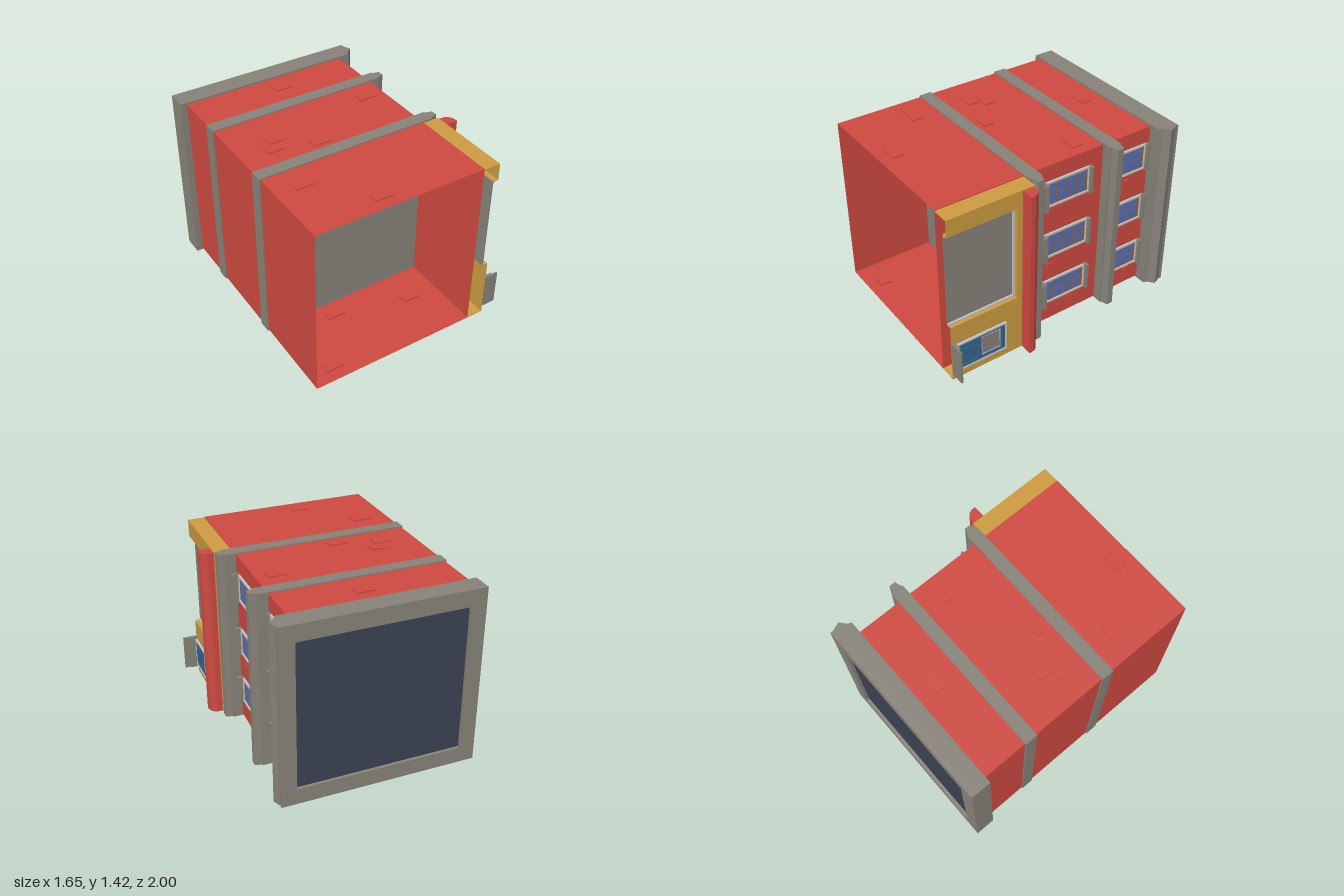
import * as THREE from 'three';

const mat = (name, color, side = THREE.FrontSide) => {
  const m = new THREE.MeshStandardMaterial({ color, side });
  m.name = name;
  return m;
};

export function createModel() {
  const root = new THREE.Group();
  root.name = 'townhouse';
  const red = mat('red wall', 0xcf4a41, THREE.DoubleSide);
  const grey = mat('grey stone', 0x87837a);
  const ochre = mat('ochre shopfront', 0xcd9c41);
  const light = mat('pale trim', 0xc4c5c4);
  const glass = mat('blue glass', 0x5c6fb2);
  const brown = mat('brown sash', 0xa0662f);
  const blue = mat('blue door', 0x37648c);
  const navy = mat('dark roof', 0x3b4252);

  const add = (parent, name, geo, m) => {
    const mesh = new THREE.Mesh(geo, m);
    mesh.name = name;
    parent.add(mesh);
    return mesh;
  };
  // box given by its min and max on each axis
  const box = (parent, name, m, x0, x1, y0, y1, z0, z1) => {
    const g = new THREE.BoxGeometry(x1 - x0, y1 - y0, z1 - z0);
    g.translate((x0 + x1) / 2, (y0 + y1) / 2, (z0 + z1) / 2);
    return add(parent, name, g, m);
  };
  // [x, z] outline extruded upward
  const prism = (parent, name, m, pts, y0, y1) => {
    const s = new THREE.Shape(pts.map(([x, z]) => new THREE.Vector2(x, -z)));
    const g = new THREE.ExtrudeGeometry(s, { depth: y1 - y0, bevelEnabled: false });
    g.rotateX(-Math.PI / 2).translate(0, y0, 0);
    return add(parent, name, g, m);
  };
  // rectangular rim on a wall facing +x
  const rim = (parent, name, m, x0, x1, y0, y1, z0, z1, w) => {
    box(parent, name, m, x0, x1, y0, y0 + w, z0, z1);
    box(parent, name, m, x0, x1, y1 - w, y1, z0, z1);
    box(parent, name, m, x0, x1, y0 + w, y1 - w, z0, z0 + w);
    box(parent, name, m, x0, x1, y0 + w, y1 - w, z1 - w, z1);
  };

  // Main walls: a tube open at the front end
  const shell = new THREE.BoxGeometry(1.35, 1.39, 1.88);
  shell.setIndex(Array.from(shell.index.array).slice(0, 24));
  shell.clearGroups();
  shell.translate(-0.105, 0.71, 0.06);
  add(root, 'walls', shell, red);

  // Floor bands with a moulded edge
  for (const z of [0.25, -0.445]) {
    prism(root, 'floorBand', grey, [
      [-0.79, 0.05], [0.65, 0.05], [0.65, 0.04], [0.705, 0.025],
      [0.705, -0.025], [0.65, -0.04], [0.65, -0.05], [-0.79, -0.05],
    ].map(([x, dz]) => [x, z + dz]), 0.007, 1.415);
  }

  // Cornice block with a recessed roof
  prism(root, 'cornice', grey, [
    [-0.83, -0.84], [0.66, -0.84], [0.67, -0.87], [0.72, -0.91], [0.695, -0.97], [-0.83, -0.97],
  ], 0, 1.42);
  const rect = (T, x0, x1, y0, y1) => {
    const p = new T();
    p.moveTo(x0, y0); p.lineTo(x1, y0); p.lineTo(x1, y1); p.lineTo(x0, y1); p.closePath();
    return p;
  };
  const parapet = rect(THREE.Shape, -0.83, 0.693, 0, 1.42);
  parapet.holes.push(rect(THREE.Path, -0.71, 0.575, 0.125, 1.29));
  add(root, 'parapet', new THREE.ExtrudeGeometry(parapet, { depth: 0.03, bevelEnabled: false })
    .translate(0, 0, -1), grey);
  box(root, 'roof', navy, -0.71, 0.575, 0.125, 1.29, -0.975, -0.969);

  // Windows on the +x wall
  const makeWindow = (yc, z0, z1, cols) => {
    const w = new THREE.Group();
    w.name = 'window';
    root.add(w);
    const y0 = yc - 0.108, y1 = yc + 0.108;
    rim(w, 'windowTrim', light, 0.57, 0.586, y0, y1, z0, z1, 0.016);
    box(w, 'sash', brown, 0.57, 0.576, y0 + 0.016, y1 - 0.016, z0 + 0.016, z1 - 0.016);
    const a = z0 + 0.03, pw = (z1 - z0 - 0.06) / cols, ph = 0.078;
    for (let c = 0; c < cols; c++) {
      for (const s of [-1, 1]) {
        const y = yc + s * 0.042;
        box(w, 'pane', glass, 0.575, 0.579, y - ph / 2 + 0.001, y + ph / 2 - 0.001,
          a + c * pw + 0.006, a + (c + 1) * pw - 0.006);
      }
    }
    // lintel and sill
    box(w, 'lintel', grey, 0.57, 0.613, y0 - 0.004, y1 + 0.004, z0 - 0.014, z0 + 0.008);
    if (cols > 1) {
      box(w, 'sillTop', grey, 0.57, 0.632, y0 - 0.006, y1 + 0.006, z1 - 0.012, z1 + 0.006);
      box(w, 'sillBase', grey, 0.57, 0.622, y0 + 0.004, y1 - 0.004, z1 + 0.006, z1 + 0.03);
    } else {
      box(w, 'sill', grey, 0.57, 0.613, y0 - 0.004, y1 + 0.004, z1 - 0.008, z1 + 0.014);
    }
  };
  for (const y of [1.17, 0.722, 0.292]) {
    makeWindow(y, -0.275, 0.13, 4);
    makeWindow(y, -0.805, -0.55, 1);
  }

  // Loose bricks on the side, upper and lower walls
  for (const [y, z] of [[0.99, -0.313], [0.5, 0.057], [0.1, -0.14], [0.97, -0.638], [0.115, -0.712]]) {
    box(root, 'brick', red, 0.565, 0.58, y - 0.05, y + 0.05, z - 0.026, z + 0.026);
  }
  const flatBrick = (x, z, y0) => box(root, 'brick', red, x - 0.072, x + 0.072, y0, y0 + 0.018, z - 0.042, z + 0.042);
  for (const [x, z] of [[-0.19, 0.87], [-0.56, 0.49], [-0.19, 0.11], [-0.52, 0.02], [-0.45, -0.08],
    [0.42, -0.23], [-0.05, -0.69]]) flatBrick(x, z, 1.397);
  for (const [x, z] of [[-0.57, 0.87], [-0.27, 0.42], [0.33, 0.57], [0.33, -0.24], [-0.27, -0.7]]) {
    flatBrick(x, z, 0.011);
  }

  // Shopfront: thin walls, open at the front end
  const shop = new THREE.Group();
  shop.name = 'shopfront';
  root.add(shop);
  const t = 0.006;
  box(shop, 'shopTop', ochre, 0.572, 0.705, 1.4 - t, 1.4, 0.3, 1);
  box(shop, 'shopBottom', ochre, 0.572, 0.705, 0.015, 0.015 + t, 0.3, 1);
  box(shop, 'shopEnd', ochre, 0.572, 0.705, 0.015, 1.4, 0.301, 0.301 + t);
  box(shop, 'shopFascia', ochre, 0.705 - t, 0.705, 0.015, 0.5, 0.3, 1);
  box(shop, 'shopFascia', ochre, 0.705 - t, 0.705, 1.265, 1.4, 0.3, 1);
  box(shop, 'shopPier', ochre, 0.705 - t, 0.705, 0.5, 1.265, 0.3, 0.445);
  // recessed display window
  box(shop, 'reveal', ochre, 0.66, 0.704, 0.5 - t, 0.5, 0.445, 1);
  box(shop, 'reveal', ochre, 0.66, 0.704, 1.265, 1.265 + t, 0.445, 1);
  box(shop, 'reveal', ochre, 0.66, 0.704, 0.5, 1.265, 0.445 - t, 0.445);
  box(shop, 'displayPane', grey, 0.657, 0.663, 0.5, 1.265, 0.445, 1);
  box(shop, 'displayTrim', light, 0.66, 0.677, 0.5, 0.515, 0.445, 1);
  box(shop, 'displayTrim', light, 0.66, 0.677, 1.25, 1.265, 0.445, 1);
  box(shop, 'displayTrim', light, 0.66, 0.677, 0.515, 1.25, 0.445, 0.46);

  // Door with one solid panel and one pane
  const door = new THREE.Group();
  door.name = 'door';
  root.add(door);
  rim(door, 'doorTrim', light, 0.7, 0.722, 0.085, 0.335, 0.545, 0.985, 0.014);
  box(door, 'doorLeaf', blue, 0.7, 0.708, 0.099, 0.321, 0.559, 0.971);
  rim(door, 'doorFrame', blue, 0.705, 0.716, 0.099, 0.321, 0.559, 0.971, 0.02);
  box(door, 'doorRail', blue, 0.705, 0.716, 0.119, 0.301, 0.76, 0.785);
  box(door, 'doorPanel', blue, 0.705, 0.714, 0.165, 0.26, 0.825, 0.915);
  box(door, 'doorPane', grey, 0.705, 0.711, 0.133, 0.292, 0.6, 0.756);
  rim(door, 'paneTrim', light, 0.705, 0.714, 0.128, 0.297, 0.595, 0.76, 0.006);
  box(door, 'doorStep', grey, 0.705, 0.775, 0.07, 0.355, 0.972, 0.986);
  box(door, 'doorStep', grey, 0.705, 0.82, 0.07, 0.355, 0.986, 1);

  // Rolled awning above the shopfront
  const curve = [[0.705, 0.4], [0.803, 0.4]];
  for (let i = 1; i <= 6; i++) {
    const a = (i / 6) * Math.PI / 2;
    curve.push([0.735 + 0.068 * Math.cos(a), 0.385 - 0.075 * Math.sin(a)]);
  }
  curve.push([0.705, 0.31]);
  prism(root, 'awning', red, curve, 0.015, 1.395);
  return root;
}
